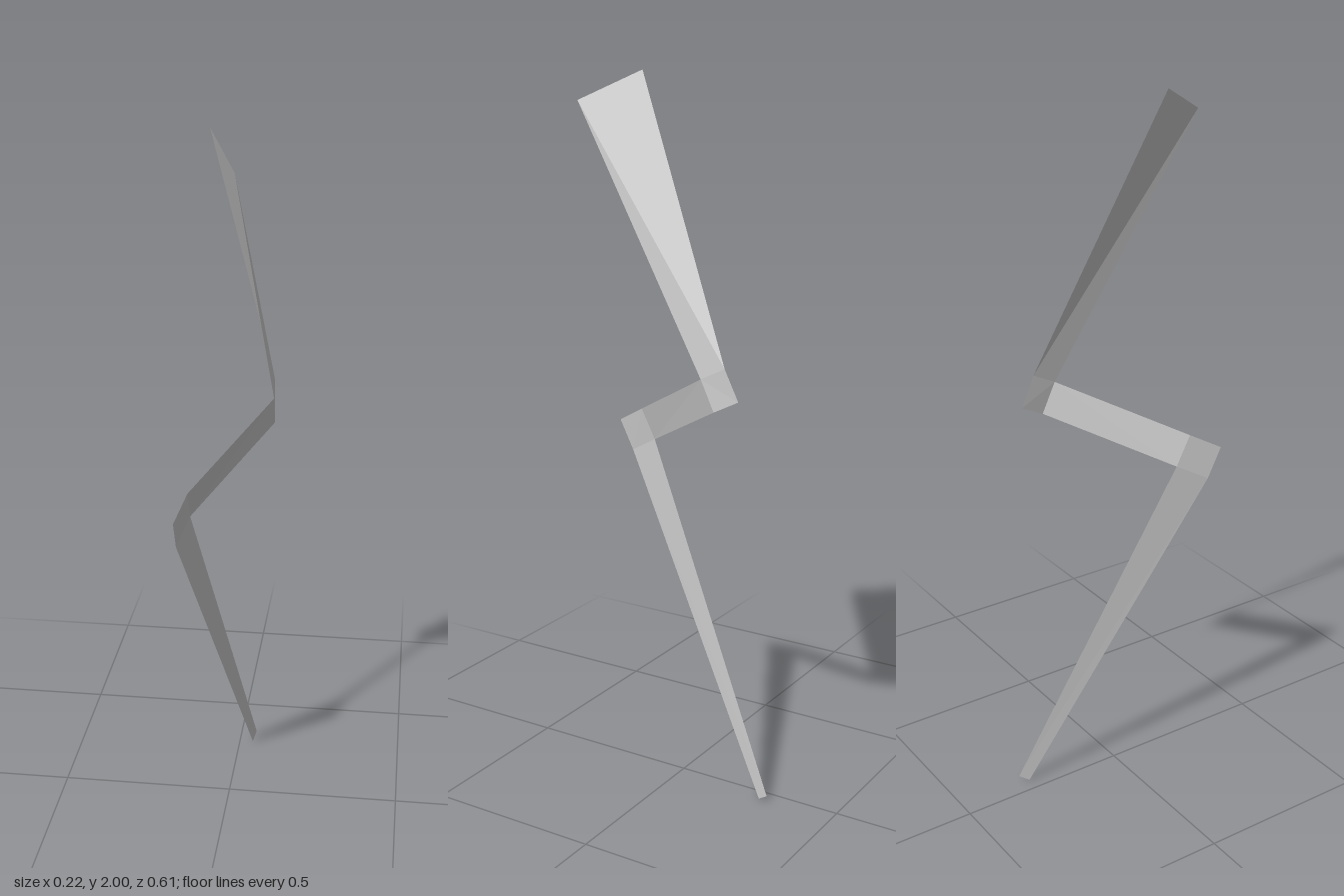
import * as THREE from 'three';

// Corner points of the folded, zero-thickness zigzag ribbon
const P = {
  topBack: [-0.03, 2.0, 0.148], topFront: [0.05, 1.92, 0.305],
  upperFold: [0.105, 1.25, -0.19], upperInner: [0.11, 1.215, -0.12],
  upperTip: [0.102, 1.165, -0.23], upperLow: [0.11, 1.13, -0.16],
  lowerHigh: [-0.088, 1.05, 0.197], lowerInner: [-0.088, 0.965, 0.153],
  lowerTip: [-0.113, 1.0, 0.288], lowerFold: [-0.113, 0.915, 0.245],
  endFront: [0.041, 0, -0.275], endBack: [0.05, 0.02, -0.305],
};

// Each panel is four corners, split along its second and fourth corner
const PANELS = {
  upperBlade: ['topBack', 'topFront', 'upperInner', 'upperFold'],
  upperElbow: ['upperFold', 'upperInner', 'upperLow', 'upperTip'],
  crossBar: ['upperLow', 'upperInner', 'lowerHigh', 'lowerInner'],
  lowerElbow: ['lowerInner', 'lowerHigh', 'lowerTip', 'lowerFold'],
  lowerBlade: ['lowerInner', 'lowerFold', 'endFront', 'endBack'],
};

function panelGeometry([a, b, c, d]) {
  const geometry = new THREE.BufferGeometry();
  const positions = [a, b, d, b, c, d].flatMap((name) => P[name]);
  geometry.setAttribute('position', new THREE.Float32BufferAttribute(positions, 3));
  geometry.computeVertexNormals();
  return geometry;
}

export function createModel() {
  const group = new THREE.Group();
  group.name = 'lightningBolt';
  const material = new THREE.MeshStandardMaterial({
    color: 0xcccccc, flatShading: true, side: THREE.DoubleSide,
  });
  for (const [name, corners] of Object.entries(PANELS)) {
    const mesh = new THREE.Mesh(panelGeometry(corners), material);
    mesh.name = name;
    group.add(mesh);
  }
  return group;
}
